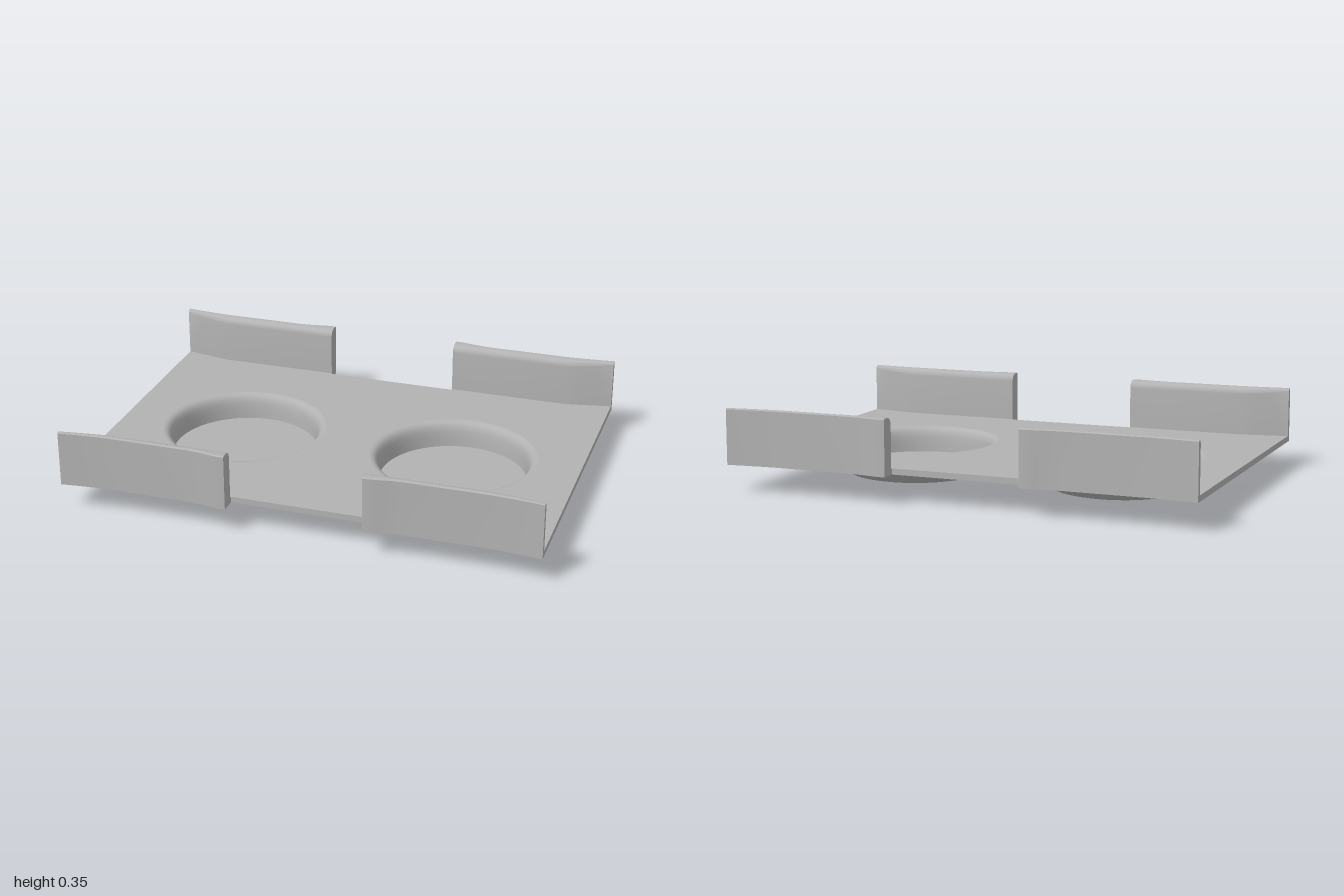
import * as THREE from 'three';
import { toCreasedNormals } from 'three/addons/utils/BufferGeometryUtils.js';

const TOP = 0.14, BASE = 0.115, FLOOR = 0.03, WELL_X = 0.465, HALF_Z = 0.635, RIM = 0.35;

function build(points, index) {
  const g = new THREE.BufferGeometry();
  g.setAttribute('position', new THREE.Float32BufferAttribute(points, 3));
  g.setIndex(index);
  g.computeVertexNormals();
  return g;
}

// Flat deck with two round openings, reaching out under the flared walls
function deckGeometry() {
  const quarter = [[0.285, HALF_Z], [0.285, 0.66], [0.8, 0.66], [1, 0.69]];
  const outline = [
    ...quarter,
    ...quarter.map(([x, z]) => [x, -z]).reverse(),
    ...quarter.map(([x, z]) => [-x, -z]),
    ...quarter.map(([x, z]) => [-x, z]).reverse(),
  ];
  const shape = new THREE.Shape(outline.map(([x, z]) => new THREE.Vector2(x, z)));
  for (const s of [-1, 1]) {
    shape.holes.push(new THREE.Path().absarc(s * WELL_X, 0, RIM, 0, Math.PI * 2, true));
  }
  const g = new THREE.ExtrudeGeometry(shape, { depth: TOP - BASE, bevelEnabled: false, curveSegments: 64 });
  return g.rotateX(-Math.PI / 2).translate(0, BASE, 0);
}

// Inner wall of a well with a rounded lip, listed from the lip downwards
function wellWallGeometry() {
  const pts = [[RIM, TOP], [0.34, 0.138], [0.33, 0.132], [0.321, 0.12], [0.315, 0.1], [0.312, 0.07], [0.31, FLOOR]];
  return new THREE.LatheGeometry(pts.map(([r, y]) => new THREE.Vector2(r, y)), 96);
}

// Underside bulge: rings around the well that stretch out to a rectangle
function bulgeGeometry() {
  const rings = [[0.25, 0], [0.27, 0.002], [0.295, 0.008], [0.325, 0.022], [0.36, 0.046],
    [0.39, 0.066], [0.42, 0.081], [0.445, 0.09], [0.46, 0.095]];
  const x0 = -WELL_X, x1 = 1 - WELL_X, n = 28;
  const corners = [[x1, -HALF_Z], [x1, HALF_Z], [x0, HALF_Z], [x0, -HALF_Z]];
  const border = [];
  corners.forEach(([ax, az], k) => {
    const [bx, bz] = corners[(k + 1) % 4];
    for (let i = 0; i < n; i++) border.push([ax + (bx - ax) * i / n, az + (bz - az) * i / n]);
  });
  const m = border.length, pts = [0, 0, 0], idx = [];
  for (const [r, y] of rings) {
    for (const [x, z] of border) {
      const d = Math.hypot(x, z);
      pts.push(x / d * r, y, z / d * r);
    }
  }
  for (const [x, z] of border) {
    const inner = Math.abs(x - x0) < 1e-6;
    pts.push(x, inner ? 0.1 + (BASE - 0.1) * Math.abs(z) / HALF_Z : BASE, z);
  }
  for (let j = 0; j < m; j++) {
    const k = (j + 1) % m;
    idx.push(0, 1 + j, 1 + k);
    for (let i = 0; i < rings.length; i++) {
      const a = 1 + i * m + j, b = 1 + i * m + k;
      idx.push(a, a + m, b + m, a, b + m, b);
    }
  }
  return build(pts, idx);
}

// Curved upright wall: cross-sections swept along x, mirrored by sx and sz
function wallGeometry(sx, sz) {
  const stations = [ // x, inner z, outer z
    [0.285, 0.642, 0.702], [0.31, 0.642, 0.702], [0.345, 0.642, 0.697], [0.39, 0.642, 0.689],
    [0.45, 0.642, 0.684], [0.8, 0.642, 0.684], [0.86, 0.653, 0.688], [0.93, 0.666, 0.694], [1, 0.68, 0.702],
  ];
  const height = 0.35, steps = 6, pts = [], idx = [];
  const sections = stations.map(([x, zin, zout]) => {
    const r = Math.min(0.032, (zout - zin) * 0.75), s = [[zout, BASE], [zout, height - 0.005], [zout - 0.005, height]];
    for (let i = 0; i <= steps; i++) {
      const a = i / steps * Math.PI / 2;
      s.push([zin + r - r * Math.sin(a), height - r + r * Math.cos(a)]);
    }
    s.push([zin, BASE]);
    return s.map(([z, y]) => [x * sx, y, z * sz]);
  });
  const n = sections[0].length, last = (sections.length - 1) * n;
  sections.forEach((s) => s.forEach((p) => pts.push(...p)));
  const tri = (a, b, c) => (sx * sz > 0 ? idx.push(a, b, c) : idx.push(a, c, b));
  for (let i = 0; i < sections.length - 1; i++) {
    for (let j = 0; j < n; j++) {
      const a = i * n + j, b = i * n + (j + 1) % n;
      tri(a, a + n, b + n);
      tri(a, b + n, b);
    }
  }
  for (let j = 1; j < n - 1; j++) {
    tri(0, j, j + 1);
    tri(last, last + j + 1, last + j);
  }
  return toCreasedNormals(build(pts, idx), 0.6);
}

export function createModel() {
  const model = new THREE.Group();
  model.name = 'twoWellTray';
  const grey = new THREE.MeshStandardMaterial({ color: 0xb2b2b2 });
  grey.name = 'grey';
  const add = (name, geometry) => {
    const mesh = new THREE.Mesh(geometry, grey);
    mesh.name = name;
    model.add(mesh);
    return mesh;
  };

  add('deck', deckGeometry());
  for (const s of [1, -1]) {
    const side = s > 0 ? 'left' : 'right';
    add(side + 'WellWall', wellWallGeometry()).position.x = s * WELL_X;
    add(side + 'WellFloor', new THREE.CircleGeometry(0.31, 96).rotateX(-Math.PI / 2)).position.set(s * WELL_X, FLOOR, 0);
    const bulge = add(side + 'Bulge', bulgeGeometry());
    bulge.position.x = s * WELL_X;
    bulge.rotation.y = s > 0 ? 0 : Math.PI;
    add(side + 'FrontWall', wallGeometry(s, 1));
    add(side + 'BackWall', wallGeometry(s, -1));
  }
  return model;
}
